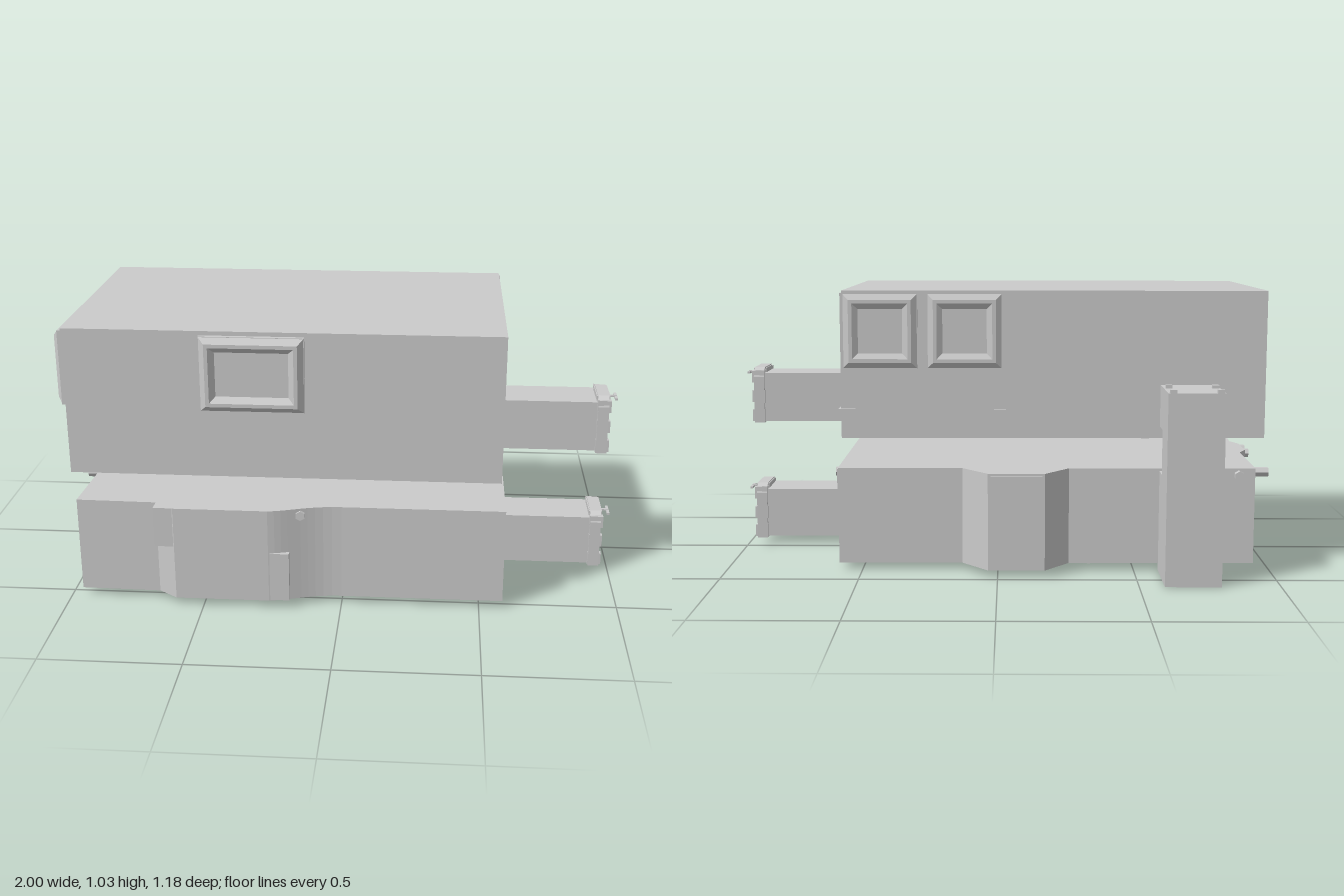
import * as THREE from 'three';

const mat = new THREE.MeshStandardMaterial({ color: 0xcccccc, flatShading: true });

function add(parent, name, geo, x = 0, y = 0, z = 0) {
  const m = new THREE.Mesh(geo, mat);
  m.name = name;
  m.position.set(x, y, z);
  parent.add(m);
  return m;
}

// Box given by its extents on each axis
function box(parent, name, [x0, x1], [y0, y1], [z0, z1]) {
  return add(parent, name, new THREE.BoxGeometry(x1 - x0, y1 - y0, z1 - z0),
    (x0 + x1) / 2, (y0 + y1) / 2, (z0 + z1) / 2);
}

function rect(path, w, h) {
  path.moveTo(-w / 2, -h / 2);
  path.lineTo(w / 2, -h / 2);
  path.lineTo(w / 2, h / 2);
  path.lineTo(-w / 2, h / 2);
  path.closePath();
  return path;
}

// Bevelled window frame around a recessed pane, facing local +z
function windowUnit(w, h, depth) {
  const g = new THREE.Group();
  g.name = 'window';
  const base = depth * 0.45, bevel = depth - base;
  const ring = rect(new THREE.Shape(), w, h);
  ring.holes.push(rect(new THREE.Path(), w - 0.09, h - 0.09));
  add(g, 'windowBase', new THREE.ExtrudeGeometry(ring, { depth: base, bevelEnabled: false }));
  const lip = rect(new THREE.Shape(), w - 0.044, h - 0.044);
  lip.holes.push(rect(new THREE.Path(), w - 0.07, h - 0.07));
  add(g, 'windowLip', new THREE.ExtrudeGeometry(lip, {
    depth: 0.001, bevelEnabled: true, bevelThickness: bevel, bevelSize: 0.02, bevelSegments: 1,
  }), 0, 0, base - 0.001);
  add(g, 'windowPane', new THREE.BoxGeometry(w - 0.07, h - 0.07, 0.01), 0, 0, 0.002);
  return g;
}

// Short corridor ending in a scalloped door frame; base is its floor height
function corridor(base, x0) {
  const g = new THREE.Group();
  g.name = 'corridor';
  g.position.y = base;
  box(g, 'corridorTube', [x0, 0.93], [0.005, 0.195], [0.035, 0.205]);

  const outer = new THREE.Shape();
  const hw = 0.098, top = 0.216;
  outer.moveTo(-hw, 0);
  outer.lineTo(-0.067, 0);
  outer.lineTo(-0.067, 0.19);
  outer.lineTo(0.067, 0.19);
  outer.lineTo(0.067, 0);
  outer.lineTo(hw, 0);
  outer.lineTo(hw, top - 0.035);
  outer.lineTo(hw - 0.01, top - 0.01);
  outer.lineTo(hw - 0.035, top);
  outer.lineTo(-hw + 0.035, top);
  outer.lineTo(-hw + 0.01, top - 0.01);
  outer.lineTo(-hw, top - 0.035);
  const frame = add(g, 'doorFrame',
    new THREE.ExtrudeGeometry(outer, { depth: 0.04, bevelEnabled: false }), 0.922, 0, 0.122);
  frame.rotation.y = Math.PI / 2;

  // raised pads give the frame its wavy edge
  for (const z of [0.0385, 0.2055]) {
    for (const y of [0.025, 0.1, 0.178]) {
      const pad = new THREE.CylinderGeometry(0.032, 0.036, 0.05, 4, 1);
      pad.rotateY(Math.PI / 4);
      pad.rotateZ(-Math.PI / 2);
      pad.scale(1, 1, 0.5);
      add(g, 'framePad', pad, 0.945, y + 0.003, z);
    }
  }
  box(g, 'doorLintel', [0.918, 0.968], [0.19, 0.212], [0.06, 0.184]);

  // two door leaves with a stepped seam
  box(g, 'doorPanel', [0.925, 0.95], [0.003, 0.19], [0.055, 0.189]);
  box(g, 'doorSeam', [0.95, 0.952], [0.003, 0.065], [0.123, 0.127]);
  box(g, 'doorSeam', [0.95, 0.952], [0.065, 0.12], [0.108, 0.112]);
  box(g, 'doorSeam', [0.95, 0.952], [0.12, 0.188], [0.123, 0.127]);
  box(g, 'doorSeam', [0.95, 0.952], [0.063, 0.067], [0.108, 0.127]);
  box(g, 'doorSeam', [0.95, 0.952], [0.118, 0.122], [0.108, 0.127]);

  // latch above the door
  box(g, 'latchArm', [0.96, 0.998], [0.19, 0.196], [0.117, 0.127]);
  box(g, 'latchBar', [0.99, 1.0], [0.186, 0.194], [0.088, 0.156]);
  return g;
}

// Six-sided pipe stub along the x or z axis
function stub(parent, axis, len, x, y, z) {
  const geo = new THREE.CylinderGeometry(0.018, 0.018, len, 6);
  if (axis === 'x') geo.rotateZ(Math.PI / 2);
  else geo.rotateX(Math.PI / 2);
  add(parent, 'pipeStub', geo, x, y, z);
}

function upperFloor() {
  const g = new THREE.Group();
  g.name = 'upperFloor';
  box(g, 'upperHull', [-0.97, 0.565], [0.495, 1.03], [-0.35, 0.535]);
  box(g, 'backPanel', [-0.55, 0.57], [0.495, 1.022], [-0.356, -0.34]);
  box(g, 'backLedge', [-0.03, 0.58], [0.594, 0.602], [-0.364, -0.34]);
  box(g, 'sideLedge', [0.55, 0.58], [0.594, 0.602], [-0.364, -0.16]);
  box(g, 'underPlate', [-0.55, -0.03], [0.488, 0.5], [0.1, 0.5]);

  const front = windowUnit(0.365, 0.27, 0.035);
  front.position.set(-0.307, 0.88, 0.535);
  const side = windowUnit(0.33, 0.27, 0.03);
  side.position.set(-0.97, 0.885, 0.365);
  side.rotation.y = -Math.PI / 2;
  g.add(front, side);
  for (const x of [0.425, 0.12]) {
    const back = windowUnit(0.27, 0.27, 0.022);
    back.position.set(x, 0.885, -0.354);
    back.rotation.y = Math.PI;
    g.add(back);
  }
  g.add(corridor(0.494, 0.55));
  return g;
}

function lowerFloor() {
  const g = new THREE.Group();
  g.name = 'lowerFloor';

  // plan outline drawn with y = -z, then raised upright
  const s = new THREE.Shape();
  s.moveTo(-0.96, -0.53);
  s.lineTo(-0.67, -0.535);
  s.lineTo(-0.6, -0.585);
  s.lineTo(-0.26, -0.585);
  s.bezierCurveTo(-0.18, -0.575, -0.12, -0.53, 0, -0.53);
  s.lineTo(0.585, -0.53);
  s.lineTo(0.585, 0.365);
  s.lineTo(0.13, 0.365);
  s.lineTo(0.035, 0.475);
  s.lineTo(-0.17, 0.475);
  s.lineTo(-0.26, 0.365);
  s.lineTo(-0.94, 0.36);
  s.lineTo(-0.94, 0.02);
  s.lineTo(-0.972, -0.04);
  s.lineTo(-0.972, -0.19);
  s.lineTo(-0.945, -0.25);
  const hull = new THREE.ExtrudeGeometry(s, { depth: 0.355, bevelEnabled: false, curveSegments: 10 });
  hull.rotateX(-Math.PI / 2);
  add(g, 'lowerHull', hull, 0, 0.03, 0);

  // raised panels on the walls
  box(g, 'frontUpperFin', [-0.67, -0.59], [0.235, 0.385], [0.5, 0.583]);
  box(g, 'frontLowerFin', [-0.255, -0.185], [0.035, 0.22], [0.5, 0.588]);
  box(g, 'sidePanel', [0.57, 0.589], [0.235, 0.38], [-0.36, -0.025]);
  box(g, 'bayPanel', [-0.16, 0.025], [0.235, 0.375], [-0.48, -0.45]);
  box(g, 'bottomSeam', [-0.94, 0.58], [0.026, 0.032], [0.11, 0.118]);
  box(g, 'bottomSeam', [-0.34, -0.332], [0.026, 0.032], [-0.36, 0.53]);

  for (const z of [0.21, 0.12, -0.295]) stub(g, 'x', 0.07, -0.963, 0.36, z);
  stub(g, 'x', 0.04, 0.58, 0.36, -0.295);
  stub(g, 'z', 0.06, -0.145, 0.36, 0.535);
  stub(g, 'z', 0.04, -0.88, 0.36, -0.364);

  g.add(corridor(0.03, 0.57));
  return g;
}

// Shaft behind the building that links both floors
function shaft() {
  const g = new THREE.Group();
  g.name = 'shaft';
  const x = [-0.79, -0.59];
  box(g, 'shaftColumn', x, [0.003, 0.69], [-0.593, -0.435]);
  box(g, 'shaftLowerArm', x, [0.003, 0.375], [-0.436, -0.355]);
  box(g, 'shaftUpperArm', x, [0.538, 0.69], [-0.436, -0.345]);
  for (const px of [-0.773, -0.608]) {
    for (const z of [-0.583, -0.45]) {
      box(g, 'roofPeg', [px - 0.012, px + 0.012], [0.685, 0.702], [z - 0.009, z + 0.009]);
    }
  }
  return g;
}

export function createModel() {
  const model = new THREE.Group();
  model.name = 'twoStoreyModule';
  model.add(upperFloor(), lowerFloor(), shaft());
  return model;
}
